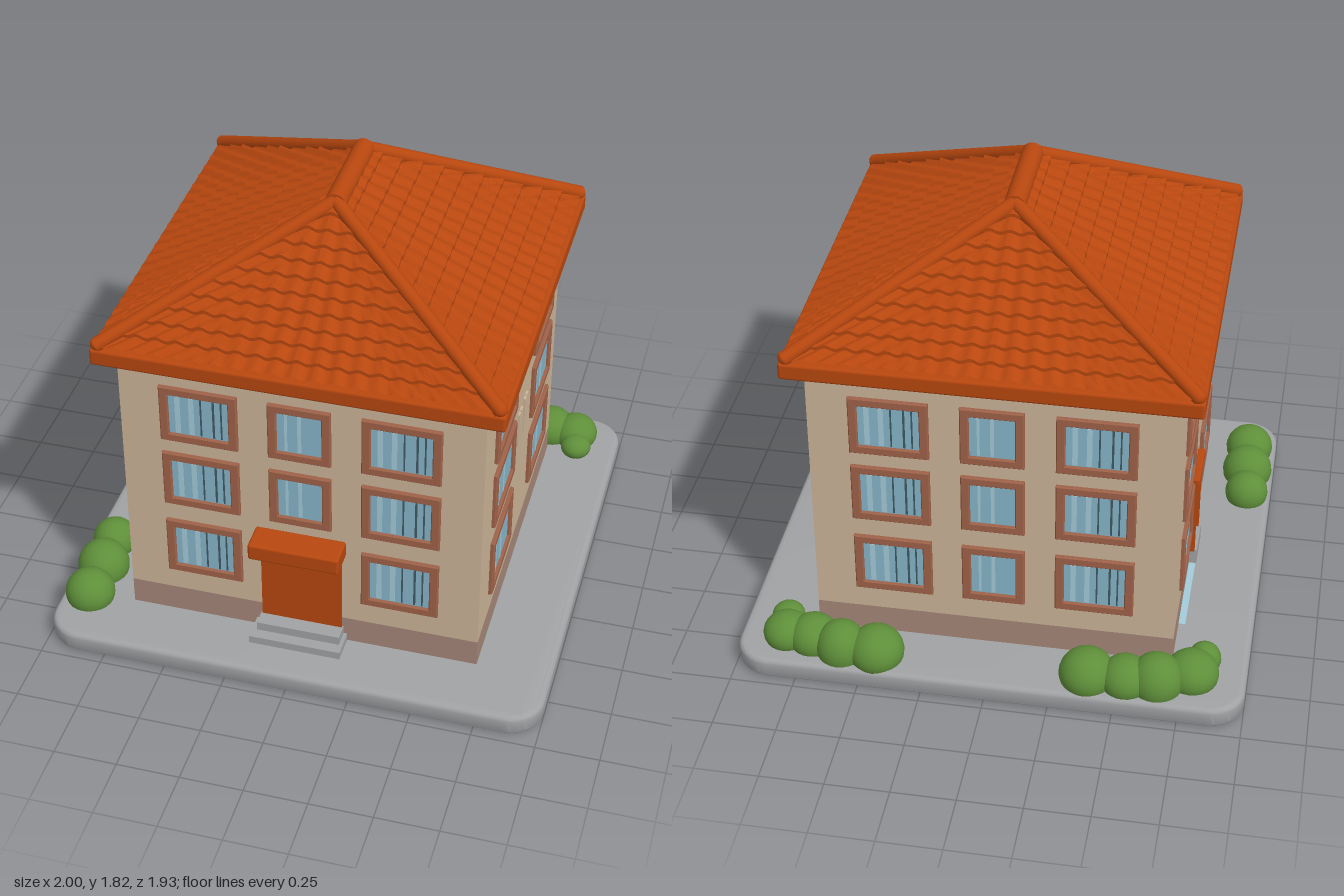
import * as THREE from 'three';
import { toCreasedNormals } from 'three/addons/utils/BufferGeometryUtils.js';
import { RoundedBoxGeometry } from 'three/addons/geometries/RoundedBoxGeometry.js';

const material = (name, color) => new THREE.MeshStandardMaterial({ name, color });
const terracotta = material('terracotta', 0xb8470f);
const plaster = material('plaster', 0xcbb498);
const plinthBrown = material('plinthBrown', 0xa58679);
const frameBrown = material('frameBrown', 0x9f6249);
const glassBlue = material('glassBlue', 0x87b5c8);
const paleBlue = material('paleBlue', 0xa3cbd9);
const darkGap = material('darkGap', 0x3f5a64);
const stone = material('stone', 0xa0a2a4);
const foliage = material('foliage', 0x5f8f3a);

const WALL = 0.705, GROUND = 0.085, EAVE = 0.77, EAVE_Y = 1.368, TOP_Y = 1.79, RIDGE = 0.2;

function add(parent, name, geometry, mat, x = 0, y = 0, z = 0) {
  const mesh = new THREE.Mesh(geometry, mat);
  mesh.name = name;
  mesh.position.set(x, y, z);
  parent.add(mesh);
  return mesh;
}

// Box given by its limits on each axis
function block(parent, name, mat, [x0, x1], [y0, y1], [z0, z1], radius = 0) {
  const size = [x1 - x0, y1 - y0, z1 - z0];
  const geometry = radius ? new RoundedBoxGeometry(...size, 3, radius) : new THREE.BoxGeometry(...size);
  return add(parent, name, geometry, mat, (x0 + x1) / 2, (y0 + y1) / 2, (z0 + z1) / 2);
}

function rectangle(target, w, h) {
  target.moveTo(-w / 2, -h / 2);
  target.lineTo(w / 2, -h / 2);
  target.lineTo(w / 2, h / 2);
  target.lineTo(-w / 2, h / 2);
  target.closePath();
  return target;
}

// Framed window on the local +z wall; slits lists [position across the pane, material]
function addWindow(parent, [x0, x1], [y0, y1], slits) {
  const group = new THREE.Group();
  group.name = 'window';
  group.position.set((x0 + x1) / 2, (y0 + y1) / 2, WALL);
  const w = x1 - x0, h = y1 - y0, paneW = w - 0.07, paneH = h - 0.07;
  const shape = rectangle(new THREE.Shape(), w - 0.008, h - 0.008);
  shape.holes.push(rectangle(new THREE.Path(), paneW + 0.008, paneH + 0.008));
  const frame = new THREE.ExtrudeGeometry(shape, {
    depth: 0.014, bevelSize: 0.004, bevelThickness: 0.004, bevelSegments: 1,
  });
  add(group, 'windowFrame', frame, frameBrown, 0, 0, -0.002);
  add(group, 'windowGlass', new THREE.BoxGeometry(paneW, paneH, 0.008), glassBlue);
  for (const [at, mat, width] of slits)
    add(group, 'windowBar', new THREE.BoxGeometry(width, paneH * 0.94, 0.004), mat, at * paneW, 0, 0.005);
  parent.add(group);
}

// Tiled roof slope facing +z: overlapping courses with a wave across them
function roofSlope(topHalfWidth, topOut) {
  const courses = 11, n = 176, positions = [], index = [];
  const rows = [];
  for (let k = 0; k < courses; k++) rows.push([k / courses, 0.014], [(k + 1) / courses, 0]);
  rows.forEach(([t, lift], r) => {
    const half = THREE.MathUtils.lerp(EAVE, topHalfWidth, t);
    const out = THREE.MathUtils.lerp(EAVE, topOut, t);
    const y = THREE.MathUtils.lerp(EAVE_Y, TOP_Y, t);
    for (let i = 0; i <= n; i++) {
      const x = half * (2 * i / n - 1);
      positions.push(x, y + lift + 0.006 * Math.cos(x * Math.PI * 2 / 0.077), out);
      if (r && i) {
        const d = r * (n + 1) + i, c = d - 1, b = d - n - 1, a = b - 1;
        index.push(a, b, d, a, d, c);
      }
    }
  });
  const geometry = new THREE.BufferGeometry();
  geometry.setAttribute('position', new THREE.Float32BufferAttribute(positions, 3));
  geometry.setIndex(index);
  return toCreasedNormals(geometry, 0.7);
}

function buildBase(parent) {
  const w = 0.98, d = 0.945, r = 0.12;
  const shape = new THREE.Shape();
  shape.absarc(w - r, d - r, r, 0, Math.PI / 2);
  shape.absarc(-w + r, d - r, r, Math.PI / 2, Math.PI);
  shape.absarc(-w + r, -d + r, r, Math.PI, Math.PI * 1.5);
  shape.absarc(w - r, -d + r, r, Math.PI * 1.5, Math.PI * 2);
  const geometry = new THREE.ExtrudeGeometry(shape, {
    depth: GROUND - 0.04, bevelSize: 0.02, bevelThickness: 0.02, bevelSegments: 4, curveSegments: 10,
  });
  geometry.rotateX(-Math.PI / 2);
  add(parent, 'groundSlab', toCreasedNormals(geometry, 0.6), stone, 0, 0.02, 0);
}

function buildRoof(parent) {
  const roof = new THREE.Group();
  roof.name = 'roof';
  block(roof, 'eaves', terracotta, [-0.785, 0.785], [1.295, 1.365], [-0.778, 0.778], 0.012);
  const slopes = [roofSlope(0, RIDGE), roofSlope(RIDGE, 0)];
  for (let k = 0; k < 4; k++)
    add(roof, 'roofSlope', slopes[k % 2], terracotta).rotation.y = k * Math.PI / 2;
  // Rounded caps over the hips and the ridge
  for (const sx of [-1, 1]) for (const sz of [-1, 1]) {
    const path = new THREE.LineCurve3(
      new THREE.Vector3(sx * 0.765, EAVE_Y + 0.008, sz * 0.76), new THREE.Vector3(0, TOP_Y, sz * RIDGE));
    add(roof, 'hipCap', new THREE.TubeGeometry(path, 1, 0.028, 12), terracotta);
    add(roof, 'hipEnd', new THREE.SphereGeometry(0.028, 12, 8), terracotta, sx * 0.757, EAVE_Y + 0.012, sz * 0.752);
  }
  const ridge = new THREE.CylinderGeometry(0.042, 0.042, 0.42, 20);
  add(roof, 'ridgeCap', ridge, terracotta, 0, TOP_Y - 0.008, 0).rotation.x = Math.PI / 2;
  parent.add(roof);
}

function buildFacades(parent) {
  const rows = [[0.3, 0.557], [0.64, 0.89], [0.952, 1.202]];
  const wide = [[-0.545, -0.24], [-0.122, 0.122], [0.24, 0.545]];
  const side = [[-0.532, -0.17], [0.18, 0.535]];
  const barred = [[-0.35, paleBlue, 0.02], [-0.12, paleBlue, 0.02], [0.04, darkGap, 0.006],
    [0.25, darkGap, 0.008], [0.38, darkGap, 0.006]];
  const plain = [[0, paleBlue, 0.014], [-0.3, paleBlue, 0.01]];
  const names = ['frontFacade', 'rightFacade', 'backFacade', 'leftFacade'];
  names.forEach((name, k) => {
    const facade = new THREE.Group();
    facade.name = name;
    facade.rotation.y = k * Math.PI / 2;
    parent.add(facade);
    (k % 2 ? side : wide).forEach((column, c) => rows.forEach((row, r) => {
      const doorway = k === 0 && c === 1 && r === 0;
      if (!doorway) addWindow(facade, column, row, k % 2 || c === 1 ? plain : barred);
    }));
    if (k === 0) buildEntrance(facade);
    if (k === 1) buildVents(facade);
    if (k === 3) buildSideDoor(facade);
  });
}

function buildEntrance(facade) {
  block(facade, 'frontDoor', terracotta, [-0.162, 0.162], [0.155, 0.53], [0.69, 0.715]);
  block(facade, 'doorCanopy', terracotta, [-0.182, 0.178], [0.52, 0.592], [0.7, 0.822], 0.01);
  block(facade, 'lowerStep', stone, [-0.188, 0.182], [0.08, 0.118], [0.69, 0.82]);
  block(facade, 'upperStep', stone, [-0.168, 0.168], [0.118, 0.155], [0.69, 0.775]);
}

// Paired vent slats between the windows
function buildVents(facade) {
  for (const x of [-0.072, -0.036, 0.036, 0.068]) {
    block(facade, 'ventSlat', plaster, [x - 0.013, x + 0.013], [0.69, 0.85], [0.7, 0.714]);
    block(facade, 'ventGap', darkGap, [x + 0.013, x + 0.017], [0.7, 0.84], [0.703, 0.708]);
  }
}

function buildSideDoor(facade) {
  for (const s of [-1, 1])
    block(facade, 'sideDoorPost', terracotta, [s * 0.085 - 0.015, s * 0.085 + 0.015], [0.155, 0.51], [0.7, 0.725]);
  block(facade, 'sideDoorLintel', terracotta, [-0.11, 0.11], [0.495, 0.53], [0.7, 0.735], 0.008);
  block(facade, 'sideDoorPanel', plaster, [-0.07, 0.07], [0.155, 0.495], [0.7, 0.71]);
  block(facade, 'sideDoorStep', stone, [-0.09, 0.09], [0.08, 0.155], [0.69, 0.735]);
  block(facade, 'groundStrip', paleBlue, [-0.48, 0.15], [0.083, 0.088], [0.7, 0.732]);
}

function buildShrubs(parent) {
  // x, z, radius, height above the slab
  const clumps = {
    backLeftShrub: [[-0.83, -0.7, 0.065, 0.1], [-0.79, -0.79, 0.105, 0.12], [-0.66, -0.85, 0.105, 0.14],
      [-0.54, -0.86, 0.1, 0.12], [-0.39, -0.855, 0.11, 0.13]],
    backRightShrub: [[0.44, -0.86, 0.11, 0.13], [0.58, -0.86, 0.1, 0.14], [0.7, -0.82, 0.1, 0.12],
      [0.81, -0.81, 0.095, 0.11], [0.83, -0.71, 0.065, 0.08]],
    frontLeftShrub: [[-0.9, 0.4, 0.09, 0.12], [-0.89, 0.56, 0.105, 0.135], [-0.885, 0.73, 0.1, 0.125]],
  };
  for (const [name, blobs] of Object.entries(clumps)) {
    const group = new THREE.Group();
    group.name = name;
    for (const [x, z, r, h] of blobs) {
      const cy = GROUND + 0.03, ry = h - 0.03;
      add(group, 'leafBall', new THREE.SphereGeometry(1, 24, 16), foliage, x, cy, z).scale.set(r, Math.min(ry, 0.11), r);
    }
    parent.add(group);
  }
}

export function createModel() {
  const house = new THREE.Group();
  house.name = 'house';
  buildBase(house);
  block(house, 'plinth', plinthBrown, [-WALL, WALL], [0.08, 0.2], [-WALL, WALL]);
  block(house, 'walls', plaster, [-WALL, WALL], [0.2, 1.3], [-WALL, WALL]);
  buildFacades(house);
  buildRoof(house);
  buildShrubs(house);
  return house;
}
